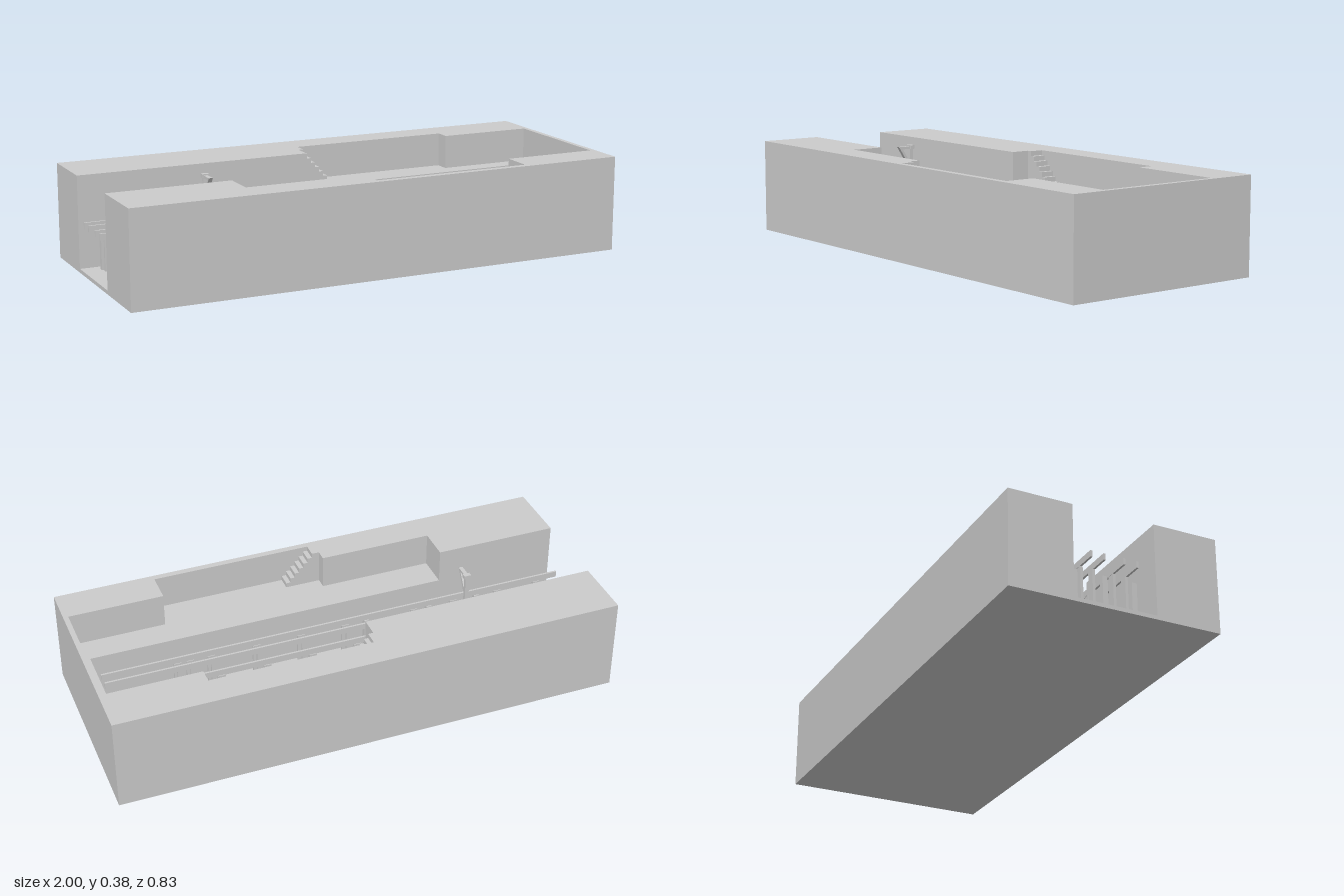
import * as THREE from 'three';

const FLOOR = 0.015, PLATFORM = 0.24, TOP = 0.375;
const HX = 1, HZ = 0.415;
const mat = new THREE.MeshStandardMaterial({ color: 0xcccccc, flatShading: true });

export function createModel() {
  const model = new THREE.Group();

  const add = (name, geo, parent = model) => {
    const m = new THREE.Mesh(geo, mat);
    m.name = name;
    parent.add(m);
    return m;
  };
  // box given by its limits on each axis
  const box = (name, x0, x1, y0, y1, z0, z1, parent) =>
    add(name, new THREE.BoxGeometry(x1 - x0, y1 - y0, z1 - z0), parent)
      .position.set((x0 + x1) / 2, (y0 + y1) / 2, (z0 + z1) / 2);
  // floor-plan outline of [x, z] points raised from y0 to y1
  const layer = (name, plan, y0, y1) => {
    const shape = new THREE.Shape(plan.map(([x, z]) => new THREE.Vector2(x, -z)));
    const geo = new THREE.ExtrudeGeometry(shape, { depth: y1 - y0, bevelEnabled: false });
    geo.rotateX(-Math.PI / 2);
    geo.translate(0, y0, 0);
    add(name, geo);
  };
  const group = (name) => {
    const g = new THREE.Group();
    g.name = name;
    model.add(g);
    return g;
  };

  // Ground block: floor, platform level and surrounding walls
  box('floor', -HX, HX, 0, FLOOR, -HZ, HZ);
  const outer = [[-HX, HZ], [HX, HZ], [HX, -HZ], [-HX, -HZ]];
  layer('platforms', [...outer,
    [-HX, -0.165], [0.94, -0.165], [0.94, 0.16], [-HX, 0.16]], FLOOR, PLATFORM);
  layer('upperWalls', [...outer,
    [-HX, -0.165], [-0.06, -0.165], [-0.06, -0.24], [-0.04, -0.24], [-0.04, -0.295],
    [0.605, -0.295], [0.605, -0.235], [0.98, -0.235], [0.98, 0.27],
    [0.605, 0.27], [0.605, 0.39], [-0.03, 0.39], [-0.03, 0.335], [-0.06, 0.335],
    [-0.06, 0.29], [-0.51, 0.29], [-0.51, 0.16], [-HX, 0.16]], PLATFORM, TOP);

  // Stairs from the top level down to each platform
  const stairs = (name, x0, x1, z0, z1) => {
    const g = group(name), n = 6, run = (x1 - x0) / n, rise = (TOP - PLATFORM) / (n + 1);
    for (let i = 0; i < n; i++)
      box('step', x0 + i * run, x0 + (i + 1) * run, PLATFORM, TOP - (i + 1) * rise, z0, z1, g);
  };
  stairs('backStairs', -0.04, 0.065, -0.295, -0.24);
  stairs('frontStairs', -0.03, 0.08, 0.335, 0.39);

  // Kerb at the closed end of the tracks
  box('endKerb', 0.94, 0.978, PLATFORM, 0.26, -0.183, 0.172);

  // Raised rails on slim supports
  const tracks = group('tracks');
  const supports = [-0.91, -0.735, -0.54, -0.37, -0.075, 0.11, 0.295, 0.48, 0.565, 0.615];
  for (const [z, side] of [[-0.095, 1], [-0.043, -1], [0.035, 1], [0.088, -1]]) {
    box('rail', -HX, 0.915, 0.185, 0.21, z - 0.004, z + 0.004, tracks);
    for (const x of supports)
      box('railSupport', x - 0.015, x + 0.015, FLOOR, 0.185,
        z + side * 0.002 - 0.005, z + side * 0.002 + 0.005, tracks);
  }

  // Square pillars in three rows
  const pillars = group('pillars');
  for (const x of [-0.92, -0.655, -0.445, -0.175])
    for (const z of [-0.123, -0.003, 0.114])
      box('pillar', x - 0.01, x + 0.01, FLOOR, 0.165, z - 0.01, z + 0.01, pillars);

  // Post with a triangular bracket between the tracks
  const post = group('signalPost');
  box('post', -0.558, -0.542, FLOOR, 0.36, -0.018, -0.004, post);
  box('postHead', -0.563, -0.535, 0.355, 0.37, -0.022, -0.004, post);
  const tri = new THREE.Shape([[0.01, 0.27], [-0.05, 0.365], [0.01, 0.365]]
    .map(([a, b]) => new THREE.Vector2(a, b)));
  tri.holes.push(new THREE.Path([[0.004, 0.3], [0.004, 0.355], [-0.032, 0.355]]
    .map(([a, b]) => new THREE.Vector2(a, b))));
  const bracket = new THREE.ExtrudeGeometry(tri, { depth: 0.016, bevelEnabled: false });
  bracket.rotateY(Math.PI / 2);
  add('bracket', bracket, post).position.x = -0.558;

  return model;
}
